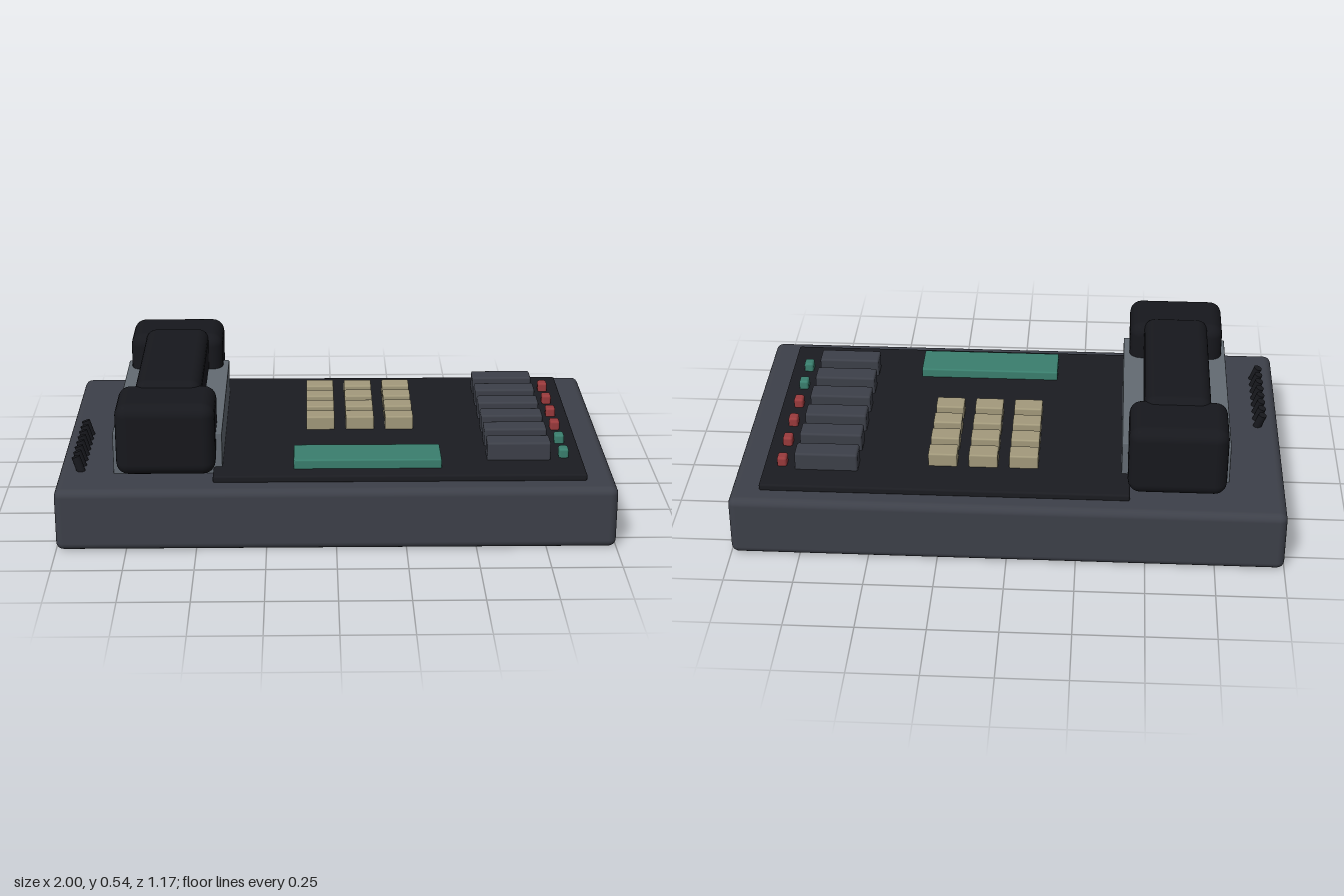
import * as THREE from 'three';
import { RoundedBoxGeometry } from 'three/addons/geometries/RoundedBoxGeometry.js';

const COLORS = {
  base: 0x3d4049, panel: 0x1b1c21, handset: 0x17181d, cradle: 0x636b73,
  key: 0xa39a7c, line: 0x3d4049, teal: 0x3a7f6e, red: 0x9a3a3c,
};
const materials = Object.fromEntries(
  Object.entries(COLORS).map(([k, color]) => [k, new THREE.MeshStandardMaterial({ color })])
);

export function createModel() {
  const model = new THREE.Group();

  // Softened block given by its extents on each axis
  function block(name, material, [x0, x1], [y0, y1], [z0, z1], radius, segments = 2, parent = model) {
    const geometry = new RoundedBoxGeometry(x1 - x0, y1 - y0, z1 - z0, segments, radius);
    const mesh = new THREE.Mesh(geometry, materials[material]);
    mesh.name = name;
    mesh.position.set((x0 + x1) / 2, (y0 + y1) / 2, (z0 + z1) / 2);
    parent.add(mesh);
    return mesh;
  }
  function group(name) {
    const g = new THREE.Group();
    g.name = name;
    model.add(g);
    return g;
  }
  const around = (c, size) => [c - size / 2, c + size / 2];

  // Desk body and dark control panel
  block('base', 'base', [-1, 1], [0.003, 0.233], [-0.585, 0.59], 0.028, 3);
  block('controlPanel', 'panel', [-0.44, 0.896], [0.23, 0.257], [-0.512, 0.514], 0.008);

  // Two cradle rails under the handset
  const cradle = group('cradle');
  block('outerRail', 'cradle', [-0.8, -0.69], [0.228, 0.386], [-0.368, 0.422], 0.004, 1, cradle);
  block('innerRail', 'cradle', [-0.52, -0.408], [0.228, 0.386], [-0.368, 0.422], 0.004, 1, cradle);

  // Handset: two end caps joined by the grip
  const handset = group('handset');
  block('earpiece', 'handset', [-0.784, -0.43], [0.254, 0.521], [-0.51, -0.26], 0.045, 3, handset);
  block('mouthpiece', 'handset', [-0.784, -0.43], [0.254, 0.521], [0.262, 0.514], 0.045, 3, handset);
  block('grip', 'handset', [-0.724, -0.484], [0.355, 0.54], [-0.322, 0.324], 0.04, 3, handset);

  // Coiled cord, shown as a row of leaning turns
  const cord = group('coiledCord');
  const up = new THREE.Vector3(0, 1, 0);
  const lean = new THREE.Vector3(-0.022, 0.065, -0.008);
  const turnGeometry = new THREE.CylinderGeometry(0.016, 0.016, lean.length(), 12);
  for (let i = 0; i < 8; i++) {
    const turn = new THREE.Mesh(turnGeometry, materials.handset);
    turn.name = 'cordTurn';
    turn.position.set(-0.927, 0.252, 0.031 + i * 0.0512);
    turn.quaternion.setFromUnitVectors(up, lean.clone().normalize());
    cord.add(turn);
  }

  // Number keys, three columns by four rows
  const keypad = group('keypad');
  for (let row = 0; row < 4; row++) {
    for (let col = 0; col < 3; col++) {
      block('key', 'key', around(-0.052 + col * 0.148, 0.106), [0.245, 0.307],
        around(-0.315 + row * 0.1125, 0.074), 0.006, 2, keypad);
    }
  }

  // Display window
  block('display', 'teal', [-0.152, 0.38], [0.25, 0.291], [0.295, 0.447], 0.006);

  // Line buttons, each with its lamp
  const lines = group('lineButtons');
  for (let i = 0; i < 6; i++) {
    const z = -0.361 + i * 0.139;
    block('lineButton', 'line', [0.55, 0.78], [0.24, 0.323], around(z, 0.082), 0.008, 2, lines);
    block('lineLamp', i < 4 ? 'red' : 'teal', [0.812, 0.848], [0.25, 0.291],
      around(z, 0.046), 0.009, 2, lines);
  }

  return model;
}
